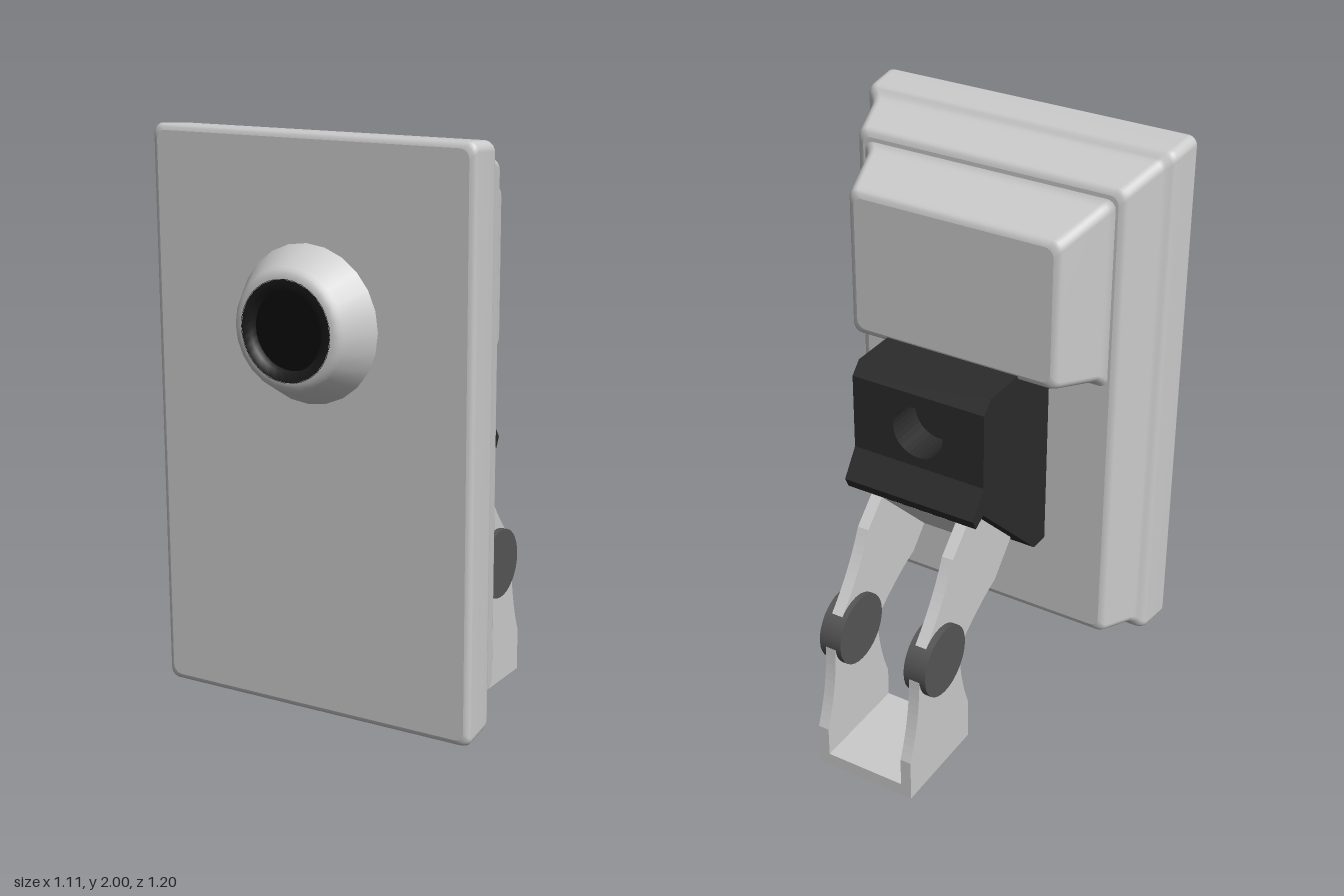
import * as THREE from 'three';

const mat = (color) => new THREE.MeshStandardMaterial({ color });
const grey = mat(0xcccccc), dark = mat(0x2b2b2b), pivotMat = mat(0x555555), black = mat(0x0b0b0b), ringMat = mat(0x1c1c1c);

function add(group, name, geometry, material = grey) {
  const mesh = new THREE.Mesh(geometry, material);
  mesh.name = name;
  group.add(mesh);
  return mesh;
}

// Rounded rectangle lofted front to back; each section is [z, inset]
function loft(halfW, y0, y1, radius, sections, steps = 5) {
  const pos = [], idx = [], n = 4 * (steps + 1);
  const cy = (y0 + y1) / 2, halfH = (y1 - y0) / 2;
  const ring = ([z, inset]) => {
    const w = halfW - inset - radius, h = halfH - inset - radius;
    for (let c = 0; c < 4; c++) {
      const sx = c === 0 || c === 3 ? 1 : -1, sy = c < 2 ? 1 : -1;
      for (let s = 0; s <= steps; s++) {
        const a = (c + s / steps) * Math.PI / 2;
        pos.push(sx * w + radius * Math.cos(a), cy + sy * h + radius * Math.sin(a), z);
      }
    }
  };
  sections.forEach(ring);
  for (let i = 0; i < sections.length - 1; i++) {
    for (let j = 0; j < n; j++) {
      const k = (j + 1) % n, a = i * n + j, b = i * n + k;
      idx.push(a, a + n, b + n, a, b + n, b);
    }
  }
  // End caps with their own vertices
  [sections[0], sections[sections.length - 1]].forEach((section, back) => {
    const start = pos.length / 3;
    ring(section);
    for (let j = 1; j < n - 1; j++) {
      if (back) idx.push(start, start + j + 1, start + j);
      else idx.push(start, start + j, start + j + 1);
    }
  });
  const g = new THREE.BufferGeometry();
  g.setAttribute('position', new THREE.Float32BufferAttribute(pos, 3));
  g.setIndex(idx);
  g.computeVertexNormals();
  return g;
}

// Extrudes a (z, y) side profile across x, centred on x
function sideExtrude(shape, width, x = 0) {
  const g = new THREE.ExtrudeGeometry(shape, { depth: width, bevelEnabled: false, curveSegments: 10 });
  g.translate(0, 0, -width / 2);
  g.rotateY(-Math.PI / 2);
  g.translate(x, 0, 0);
  return g;
}
const polygon = (points) => new THREE.Shape(points.map(([z, y]) => new THREE.Vector2(z, y)));

export function createModel() {
  const model = new THREE.Group();
  model.name = 'wallMountedCamera';

  // Stepped housing with a rounded flange
  add(model, 'housing', loft(0.555, 0.2, 2, 0.03, [
    [0.48, 0.02], [0.477, 0.01], [0.47, 0.003], [0.46, 0], [0.355, 0.008], [0.342, 0.012], [0.332, 0.02],
    [0.325, 0.032], [0.315, 0.04], [0.3, 0.047], [0.182, 0.079], [0.172, 0.083], [0.164, 0.092], [0.16, 0.105],
  ]));
  add(model, 'rearCompartment', loft(0.45, 1.235, 1.89, 0.03, [
    [0.165, 0], [0.158, 0.012], [0.148, 0.022], [0.135, 0.029], [-0.025, 0.073], [-0.037, 0.078], [-0.046, 0.086], [-0.05, 0.1],
  ]));

  // Lens hood, ring and glass
  const lens = new THREE.Group();
  lens.name = 'lens';
  lens.position.set(0, 1.435, 0);
  model.add(lens);
  const turned = (points, sides) => {
    const g = new THREE.LatheGeometry(points.map(([r, z]) => new THREE.Vector2(r, z)), sides);
    return g.rotateX(Math.PI / 2);
  };
  add(lens, 'lensHood', turned([[0.245, 0.475], [0.188, 0.58], [0.18, 0.591], [0.167, 0.599], [0.153, 0.6]], 24));
  add(lens, 'lensRing', turned([[0.155, 0.6], [0.123, 0.598], [0.123, 0.565]], 32), ringMat);
  add(lens, 'lensGlass', new THREE.CircleGeometry(0.125, 32).translate(0, 0, 0.57), black);

  // Mounting block with a notch that takes the drilled rear plate
  add(model, 'mountBlock', sideExtrude(polygon([
    [0.165, 0.6], [0.09, 0.6], [-0.25, 0.93], [-0.295, 0.905], [-0.312, 0.94], [-0.25, 1.03],
    [-0.12, 1.03], [-0.12, 1.29], [-0.25, 1.29], [-0.212, 1.33], [-0.05, 1.33], [0.165, 1.265],
  ]), 0.474), dark);
  const plate = polygon([[-0.237, 1.03], [0.237, 1.03], [0.237, 1.29], [-0.237, 1.29]]);
  plate.holes.push(new THREE.Path().absarc(0, 1.155, 0.09, 0, Math.PI * 2, true));
  add(model, 'drilledRearPlate', new THREE.ExtrudeGeometry(plate, { depth: 0.13, bevelEnabled: false, curveSegments: 16 })
    .translate(0, 0, -0.25), dark);

  // Upper and lower hinge brackets
  const upperArm = new THREE.Shape();
  upperArm.moveTo(0.04, 0.66);
  upperArm.lineTo(-0.07, 0.545);
  upperArm.quadraticCurveTo(-0.17, 0.51, -0.3, 0.41);
  upperArm.lineTo(-0.42, 0.4);
  upperArm.lineTo(-0.5, 0.545);
  upperArm.quadraticCurveTo(-0.39, 0.66, -0.335, 0.79);
  upperArm.lineTo(-0.21, 0.91);
  const lowerArm = new THREE.Shape();
  lowerArm.moveTo(-0.24, 0);
  lowerArm.lineTo(-0.6, 0);
  lowerArm.lineTo(-0.6, 0.15);
  lowerArm.quadraticCurveTo(-0.545, 0.28, -0.54, 0.44);
  lowerArm.lineTo(-0.42, 0.52);
  lowerArm.lineTo(-0.298, 0.44);
  lowerArm.quadraticCurveTo(-0.295, 0.28, -0.24, 0.15);
  for (const [side, s] of [['left', 1], ['right', -1]]) {
    add(model, side + 'UpperArm', sideExtrude(upperArm, 0.04, s * 0.158));
    add(model, side + 'LowerArm', sideExtrude(lowerArm, 0.038, s * 0.159));
    const pivot = add(model, side + 'Pivot', new THREE.CylinderGeometry(0.122, 0.122, 0.08, 32), pivotMat);
    pivot.rotation.z = Math.PI / 2;
    pivot.position.set(s * 0.16, 0.455, -0.419);
  }
  add(model, 'upperBracketPlate', sideExtrude(polygon([[0.04, 0.66], [0, 0.618], [-0.25, 0.868], [-0.21, 0.91]]), 0.3));
  add(model, 'lowerBracketBase', new THREE.BoxGeometry(0.3, 0.045, 0.36).translate(0, 0.0225, -0.42));

  return model;
}
